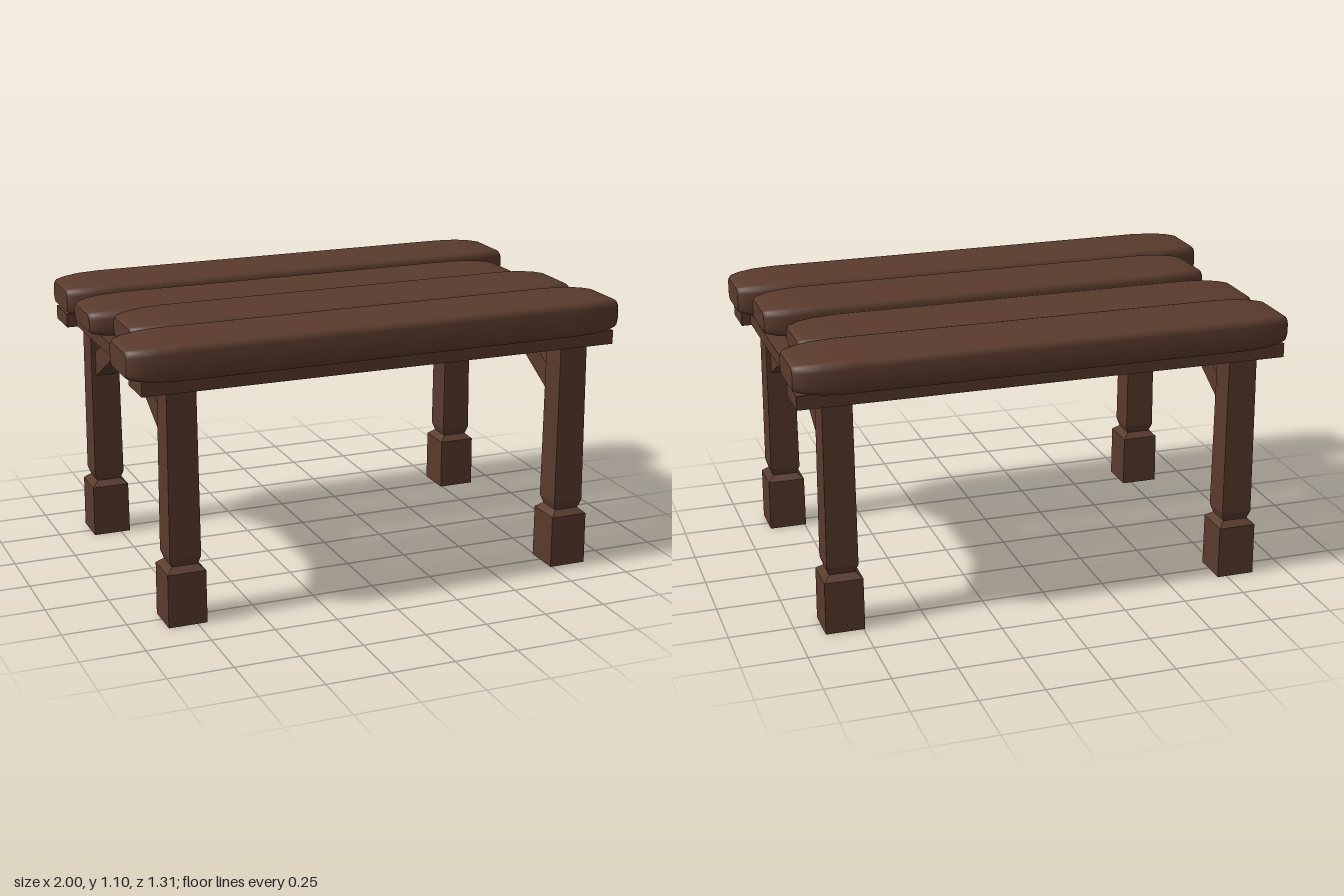
import * as THREE from 'three';
import { toCreasedNormals } from 'three/addons/utils/BufferGeometryUtils.js';

// Rounded plank: rounded-rectangle sections lofted along x, drawn in at the ends
function plankGeometry(length, height, width) {
  const ends = [[0, 0.05, 0.022], [0.012, 0.036, 0.013], [0.05, 0.02, 0.007], [0.11, 0.007, 0.002], [0.2, 0, 0]];
  const stations = [
    ...ends.map(([d, w, h]) => [-length / 2 + d, w, h]),
    ...[...ends].reverse().map(([d, w, h]) => [length / 2 - d, w, h]),
  ];
  const steps = 3, r = 0.026, n = 4 * (steps + 1);
  const pos = [], index = [];
  for (const [x, dw, dh] of stations) {
    const hy = height / 2 - dh - r, hz = width / 2 - dw - r;
    for (let q = 0; q < 4; q++) {
      for (let s = 0; s <= steps; s++) {
        const a = (q + s / steps) * Math.PI / 2;
        const sy = q === 0 || q === 3 ? 1 : -1, sz = q < 2 ? 1 : -1;
        pos.push(x, sy * hy + r * Math.cos(a), sz * hz + r * Math.sin(a));
      }
    }
  }
  const last = stations.length - 1;
  for (let i = 0; i < last; i++) {
    for (let j = 0; j < n; j++) {
      const k = (j + 1) % n;
      const a = i * n + j, b = a + n, d = i * n + k, c = d + n;
      index.push(a, d, c, a, c, b);
    }
  }
  // end caps
  for (let j = 1; j < n - 1; j++) {
    index.push(0, j + 1, j, last * n, last * n + j, last * n + j + 1);
  }
  const g = new THREE.BufferGeometry();
  g.setAttribute('position', new THREE.Float32BufferAttribute(pos, 3));
  g.setIndex(index);
  return toCreasedNormals(g.toNonIndexed(), 0.6);
}

export function createModel() {
  const model = new THREE.Group();
  model.name = 'table';
  const wood = new THREE.MeshStandardMaterial({ color: 0x5a3b2d });
  wood.name = 'dark brown wood';
  const flatWood = wood.clone();
  flatWood.flatShading = true;

  const add = (name, geometry, x, y, z, material = wood) => {
    const mesh = new THREE.Mesh(geometry, material);
    mesh.name = name;
    mesh.position.set(x, y, z);
    model.add(mesh);
    return mesh;
  };
  const box = (name, x0, x1, y0, y1, z0, z1) => add(name,
    new THREE.BoxGeometry(x1 - x0, y1 - y0, z1 - z0), (x0 + x1) / 2, (y0 + y1) / 2, (z0 + z1) / 2);

  // Tabletop: x0, x1, y0, y1, z0, z1, yaw
  [
    ['frontPlank', -1, 0.995, 0.965, 1.1, 0.345, 0.652, 0.003],
    ['frontMiddlePlank', -0.89, 0.955, 0.975, 1.096, 0.012, 0.336, 0.002],
    ['backMiddlePlank', -0.953, 0.892, 0.965, 1.075, -0.328, -0.006, -0.002],
    ['backPlank', -0.953, 0.987, 0.965, 1.091, -0.656, -0.34, -0.002],
  ].forEach(([name, x0, x1, y0, y1, z0, z1, yaw]) => {
    add(name, plankGeometry(x1 - x0, y1 - y0, z1 - z0),
      (x0 + x1) / 2, (y0 + y1) / 2, (z0 + z1) / 2).rotation.y = yaw;
  });

  // Square leg with a block foot, a shoulder and a slightly tapered shaft
  const legProfile = [[0, 0], [0.076, 0], [0.075, 0.21], [0.05, 0.232], [0.061, 0.265], [0.057, 0.92], [0, 0.92]]
    .map(([half, y]) => new THREE.Vector2(half * Math.SQRT2, y));
  const leg = new THREE.LatheGeometry(legProfile, 4);
  leg.rotateY(Math.PI / 4);

  // Diagonal brace in the end plane, running from leg to crossbar
  const braceShape = new THREE.Shape([[0.46, 0.69], [0.46, 0.79], [0.22, 0.92], [0.03, 0.92]]
    .map(([z, y]) => new THREE.Vector2(-z, y)));
  const brace = new THREE.ExtrudeGeometry(braceShape, { depth: 0.08, bevelEnabled: false });
  brace.translate(0, 0, -0.04);
  brace.rotateY(Math.PI / 2);

  for (const [side, x] of [['right', -0.788], ['left', 0.82]]) {
    box(side + 'Crossbar', x - 0.118, x + 0.118, 0.917, 0.966, -0.597, 0.597);
    for (const [end, s] of [['Front', 1], ['Back', -1]]) {
      add(side + end + 'Leg', leg, x, 0, s * 0.515, flatWood);
      add(side + end + 'Brace', brace, x, 0, 0).rotation.y = s > 0 ? 0 : Math.PI;
    }
  }

  // Long rails under the outer planks
  box('frontRail', -0.945, 0.975, 0.912, 0.967, 0.44, 0.602);
  box('backRail', -0.945, 0.975, 0.912, 0.967, -0.602, -0.44);
  // Small spacer lifting the higher middle plank
  box('spacer', -0.87, -0.7, 0.96, 0.978, 0.03, 0.13);
  return model;
}
